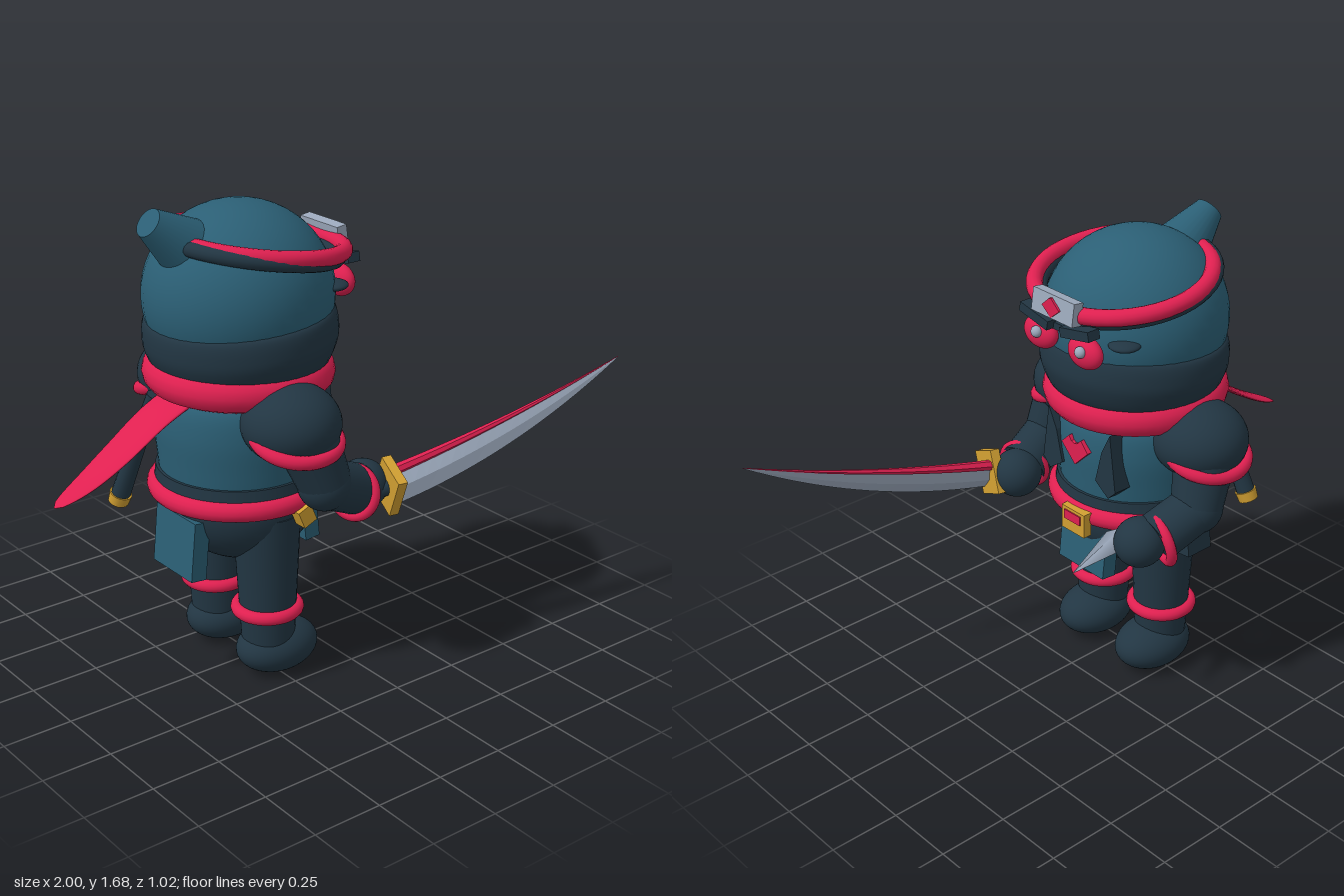
import * as THREE from 'three';

const material = (name, color) => {
  const m = new THREE.MeshStandardMaterial({ color });
  m.name = name;
  return m;
};

export function createModel() {
  const teal = material('teal cloth', 0x2b5f75);
  const dark = material('dark cloth', 0x223643);
  const red = material('red cloth', 0xdf2050);
  const steel = material('steel', 0x9ca9bc);
  const gold = material('gold', 0xd2a032);

  const model = new THREE.Group();
  const body = new THREE.Group();
  body.name = 'body';
  body.position.z = -0.03;
  model.add(body);

  const V = (p) => new THREE.Vector3(...p);
  const Y = new THREE.Vector3(0, 1, 0);
  const add = (name, geo, mat, pos = [0, 0, 0], parent = body) => {
    const m = new THREE.Mesh(geo, mat);
    m.name = name;
    m.position.set(...pos);
    parent.add(m);
    return m;
  };
  const ball = (name, mat, r, pos) => add(name, new THREE.SphereGeometry(1, 40, 28).scale(...r), mat, pos);
  const box = (name, mat, size, pos, rot = [0, 0, 0], parent = body) => {
    const m = add(name, new THREE.BoxGeometry(...size), mat, pos, parent);
    m.rotation.set(...rot);
    return m;
  };
  // ring whose axis points along dir
  const ring = (name, mat, R, tube, pos, dir = [0, 1, 0]) => {
    const m = add(name, new THREE.TorusGeometry(R, tube, 14, 48).rotateX(Math.PI / 2), mat, pos);
    m.quaternion.setFromUnitVectors(Y, V(dir).normalize());
    return m;
  };
  // tapered cylinder from a to b
  const limb = (name, mat, a, b, ra, rb, sides = 28, parent = body) => {
    const d = V(b).sub(V(a));
    const mid = V(a).addScaledVector(d, 0.5).toArray();
    const m = add(name, new THREE.CylinderGeometry(rb, ra, d.length(), sides), mat, mid, parent);
    m.quaternion.setFromUnitVectors(Y, d.normalize());
    return m;
  };
  const lathe = (name, mat, pts, pos) =>
    add(name, new THREE.LatheGeometry(new THREE.SplineCurve(pts.map((p) => new THREE.Vector2(...p))).getPoints(24), 48), mat, pos);
  // outline given as [z, y], facing +x
  const plate = (name, mat, pts, depth, x) => {
    const shape = new THREE.Shape(pts.map(([z, y]) => new THREE.Vector2(-z, y)));
    const geo = new THREE.ExtrudeGeometry(shape, { depth, bevelEnabled: false }).rotateY(Math.PI / 2);
    return add(name, geo, mat, [x, 0, 0]);
  };
  // skin over elliptical sections; at(t) gives centre and two half axes
  const loft = (name, mat, at, steps, sides, flat, parent = model) => {
    const pos = [], idx = [];
    for (let i = 0; i <= steps; i++) {
      const [c, u, v] = at(i / steps);
      for (let j = 0; j < sides; j++) {
        const a = (j / sides) * Math.PI * 2;
        pos.push(...c.clone().addScaledVector(u, Math.cos(a)).addScaledVector(v, Math.sin(a)).toArray());
        if (i < steps) {
          const k = (j + 1) % sides, o = i * sides, n = o + sides;
          idx.push(o + j, o + k, n + j, o + k, n + k, n + j);
        }
      }
    }
    let geo = new THREE.BufferGeometry();
    geo.setAttribute('position', new THREE.Float32BufferAttribute(pos, 3));
    geo.setIndex(idx);
    if (flat) geo = geo.toNonIndexed();
    geo.computeVertexNormals();
    return add(name, geo, mat, [0, 0, 0], parent);
  };

  // head, face mask and topknot
  ball('head', teal, [0.325, 0.31, 0.315], [-0.268, 1.35, 0]);
  const mask = lathe('faceMask', dark, [[0.2, -0.16], [0.28, -0.12], [0.322, -0.04], [0.328, 0.02], [0.318, 0.07], [0.29, 0.085]], [-0.262, 1.215, 0]);
  mask.rotation.z = 0.07;
  limb('topknot', teal, [-0.386, 1.47, 0], [-0.61, 1.64, 0], 0.135, 0.05);

  // headband
  ring('headband', red, 0.3, 0.029, [-0.205, 1.517, 0], [0.14, 1, 0]);
  ring('headbandLining', dark, 0.298, 0.026, [-0.226, 1.503, 0], [0.18, 1, 0]);
  box('browPlate', steel, [0.04, 0.08, 0.2], [0.1, 1.49, -0.01], [0, 0, 0.14]);
  plate('plateGem', red, [[0.035, 1.49], [0, 1.522], [-0.01, 1.525], [-0.05, 1.49], [-0.008, 1.455]], 0.008, 0.119);

  // eyes and brows
  for (const s of [-1, 1]) {
    ball('eye', red, [0.04, 0.057, 0.075], [0.072, 1.353, s * 0.11 - 0.008]);
    ball('pupil', steel, [0.018, 0.02, 0.02], [0.11, 1.37, s * 0.108 - 0.025]);
    box('brow', dark, [0.05, 0.034, 0.14], [0.09, 1.425, s * 0.1 - 0.008], [-s * 0.2, 0, 0]);
    ball('eyeCorner', dark, [0.055, 0.018, 0.055], [-0.03, 1.375, s * 0.195]);
  }
  box('browBridge', dark, [0.05, 0.025, 0.09], [0.06, 1.405, -0.008]);

  // torso, collar and hips
  lathe('torso', teal, [[0.2, 1.08], [0.265, 1.02], [0.283, 0.92], [0.275, 0.8], [0.265, 0.7]].reverse(), [-0.28, 0, 0]);
  ring('collar', red, 0.262, 0.063, [-0.272, 1.085, 0], [0.02, 1, 0]);
  ball('hips', dark, [0.262, 0.23, 0.268], [-0.272, 0.64, 0]);
  add('waistband', new THREE.CylinderGeometry(0.281, 0.287, 0.05, 48), dark, [-0.28, 0.73, 0]);
  ring('belt', red, 0.277, 0.036, [-0.28, 0.682, 0]);
  box('buckle', gold, [0.035, 0.09, 0.115], [0.03, 0.662, -0.028]);
  box('buckleKnot', red, [0.02, 0.035, 0.08], [0.042, 0.678, -0.028]);
  box('frontPanel', teal, [0.06, 0.18, 0.23], [-0.055, 0.52, 0], [0, 0, 0.1]);
  box('backPanel', teal, [0.06, 0.21, 0.23], [-0.52, 0.515, 0], [0, 0, -0.1]);
  box('hipPouch', dark, [0.11, 0.12, 0.07], [-0.27, 0.605, -0.3], [0.12, 0, 0]);
  box('hipClasp', gold, [0.055, 0.065, 0.05], [-0.23, 0.642, 0.3], [0, 0, 0.4]);

  // chest details
  for (const s of [-1, 1]) {
    plate('lapel', dark, [[0.155, 1.03], [0.185, 0.82], [0.15, 0.785], [0.085, 0.83], [0.115, 0.95]].map(([z, y]) => [s * z, y]), 0.07, -0.075);
  }
  plate('chestEmblem', red, [[0.068, 0.93], [0.03, 0.968], [0.018, 0.95], [0.002, 0.945], [-0.012, 0.95], [-0.03, 0.968], [-0.065, 0.93], [0, 0.865]], 0.025, -0.012);

  for (const s of [-1, 1]) {
    // legs
    const z = s * 0.153;
    limb('leg', dark, [-0.272, 0.12, z], [-0.275, 0.62, z], 0.092, 0.118);
    ring('anklet', red, 0.104, 0.023, [-0.275, 0.255, z]);
    ball('foot', dark, [0.155, 0.092, 0.117], [-0.235, 0.095, z]);
    // arms
    ball('shoulder', dark, [0.166, 0.135, 0.17], [-0.285, 0.985, s * 0.305]);
    const cuff = ring('sleeveCuff', red, 0.138, 0.024, [-0.288, 0.945, s * 0.34], [0, 1, s * 0.33]);
    cuff.scale.set(1.03, 1, 0.95);
    limb('upperArm', dark, [-0.27, 0.97, s * 0.35], [-0.205, 0.78, s * 0.38], 0.11, 0.09);
    ball('elbow', dark, [0.092, 0.092, 0.09], [-0.205, 0.775, s * 0.38]);
    limb('forearm', dark, [-0.205, 0.775, s * 0.38], [-0.045, 0.7, s * 0.345], 0.085, 0.088);
    ring('wristBand', red, 0.082, 0.019, [-0.06, 0.695, s * 0.355], [1, -0.25, -s * 0.35]);
    ball('hand', dark, [0.09, 0.088, 0.088], [0.005, 0.695, s * 0.32]);
  }

  // curved sword
  const spine = new THREE.QuadraticBezierCurve3(V([0.06, 0.72, 0.335]), V([0.55, 0.82, 0.42]), V([1, 0.995, 0.506]));
  const edge = new THREE.QuadraticBezierCurve3(V([0.06, 0.625, 0.375]), V([0.55, 0.705, 0.45]), V([1, 0.993, 0.507]));
  loft('swordBlade', steel, (t) => {
    const a = spine.getPoint(t), b = edge.getPoint(t), w = 1 - t;
    return [a.clone().add(b).multiplyScalar(0.5), a.clone().sub(b).multiplyScalar(0.5), V([0, 0.006 * w, 0.016 * w])];
  }, 20, 4, true);
  loft('swordSpine', red, (t) => {
    const w = 1 - t * 0.95;
    return [spine.getPoint(t).add(V([0, 0.01 * w, 0])), V([0, 0.018 * w, -0.008 * w]), V([0, 0.008 * w, 0.02 * w])];
  }, 20, 6, true);
  box('swordGuard', gold, [0.035, 0.16, 0.13], [0.07, 0.695, 0.36], [0.45, -0.17, 0.12], model);
  limb('swordGrip', dark, [-0.06, 0.67, 0.32], [0.07, 0.695, 0.36], 0.03, 0.03, 14, model);

  // short dagger in the other hand
  limb('daggerBlade', steel, [0.02, 0.672, -0.262], [0.295, 0.685, -0.335], 0.05, 0.001, 4, model);

  // sheath slung on the back
  limb('sheath', dark, [-0.545, 1.02, -0.13], [-0.605, 0.62, -0.275], 0.026, 0.034, 14, model);
  limb('sheathCap', gold, [-0.603, 0.63, -0.272], [-0.608, 0.595, -0.285], 0.04, 0.036, 14, model);

  // scarf tail
  const tail = new THREE.CatmullRomCurve3([[-0.48, 1.05, -0.03], [-0.62, 0.985, -0.03], [-0.76, 0.895, -0.03], [-0.88, 0.825, -0.03], [-1, 0.77, -0.03]].map(V));
  loft('scarfTail', red, (t) => {
    const w = Math.sqrt(Math.max(0, 1 - t ** 2.2));
    return [tail.getPoint(t), V([0, 0, 0.085 * w]), V([0.012 * w, 0.022 * w, 0])];
  }, 24, 20, false);

  return model;
}
